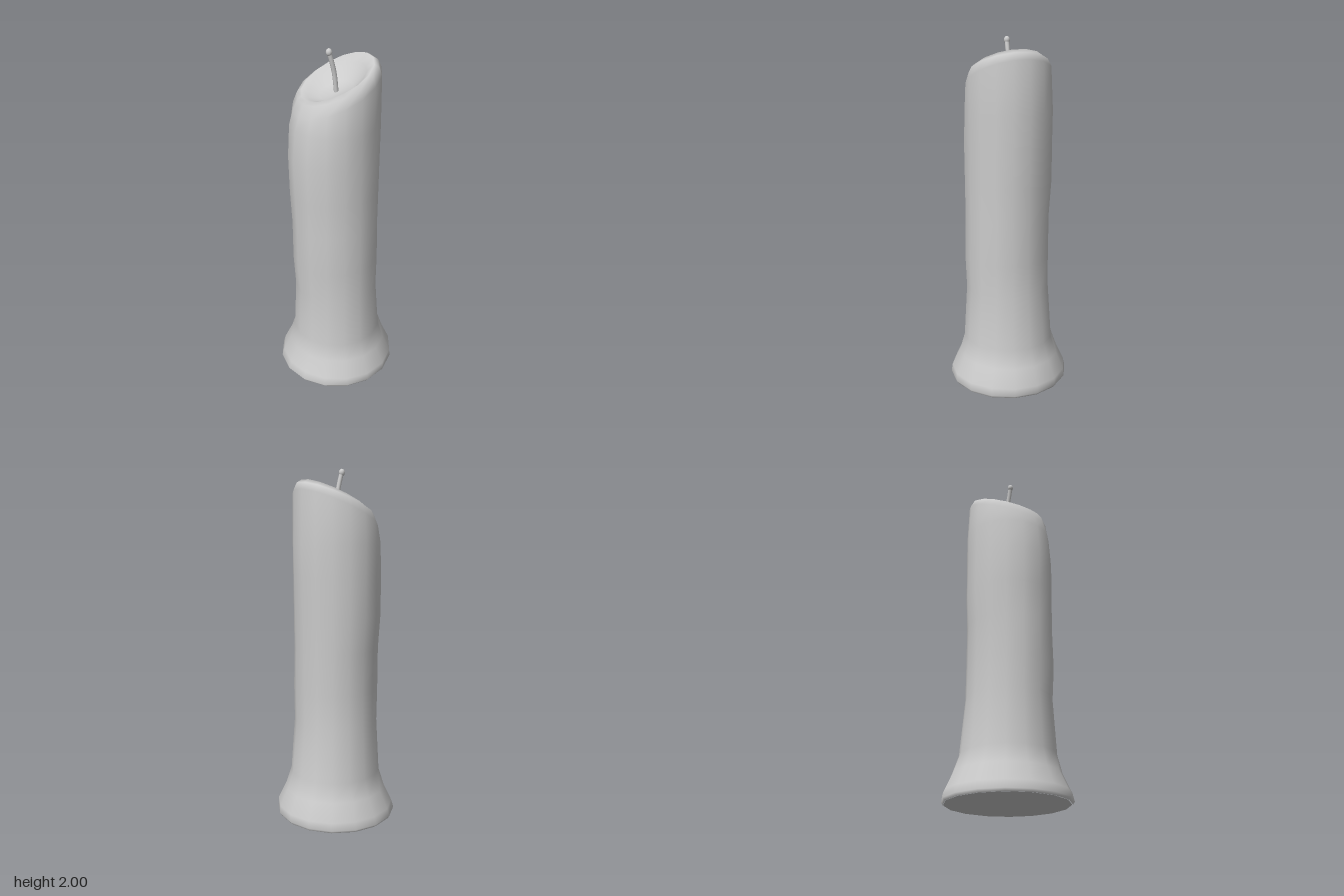
import * as THREE from 'three';

const SIDES = 16;
const material = new THREE.MeshStandardMaterial({ color: 0xcccccc, roughness: 0.8 });

// Height of the slanted rim: low at the front, high at the back
const rimY = a => 1.847 + 0.035 * Math.cos(a) - 0.09 * Math.sin(a);

// Radius blended between the left (+x), front, right (-x) and back values
function radius([left, front, right, back], a) {
  const c = Math.cos(a), s = Math.sin(a);
  return 1.015 * ((c > 0 ? left : right) * c * c + (s > 0 ? front : back) * s * s);
}

// Skin a stack of rings; closeY caps the last ring with a centre point
function skin(rings, closeY) {
  const pos = [], index = [];
  rings.forEach(({ y, r }) => {
    for (let j = 0; j < SIDES; j++) {
      const a = (j + 0.5) / SIDES * Math.PI * 2, d = radius(r, a);
      pos.push(Math.cos(a) * d, y(a), Math.sin(a) * d);
    }
  });
  for (let i = 0; i < rings.length - 1; i++) {
    for (let j = 0; j < SIDES; j++) {
      const k = (j + 1) % SIDES, p = i * SIDES, q = p + SIDES;
      index.push(p + j, q + j, p + k, p + k, q + j, q + k);
    }
  }
  if (closeY !== undefined) {
    const p = (rings.length - 1) * SIDES, centre = pos.length / 3;
    pos.push(0, closeY, 0);
    for (let j = 0; j < SIDES; j++) index.push(p + j, centre, p + (j + 1) % SIDES);
  }
  const geo = new THREE.BufferGeometry();
  geo.setAttribute('position', new THREE.Float32BufferAttribute(pos, 3));
  geo.setIndex(index);
  geo.computeVertexNormals();
  return geo;
}

export function createModel() {
  const group = new THREE.Group();
  const add = (name, geo) => {
    const mesh = new THREE.Mesh(geo, material);
    mesh.name = name;
    group.add(mesh);
    return mesh;
  };

  // Wax body: flared foot, uneven shaft, then the melted rim and hollow
  const shaft = [
    [0.0, 0.335, 0.335, 0.335, 0.33],
    [0.015, 0.345, 0.345, 0.345, 0.34],
    [0.06, 0.342, 0.33, 0.332, 0.338],
    [0.16, 0.293, 0.285, 0.285, 0.295],
    [0.26, 0.262, 0.262, 0.25, 0.26],
    [0.57, 0.242, 0.247, 0.232, 0.23],
    [0.76, 0.245, 0.262, 0.23, 0.23],
    [1.0, 0.238, 0.26, 0.232, 0.23],
    [1.2, 0.237, 0.265, 0.248, 0.235],
    [1.42, 0.236, 0.27, 0.245, 0.24],
    [1.6, 0.236, 0.253, 0.246, 0.243],
  ].map(([y, ...r]) => ({ y: () => y, r }));
  const top = [
    { y: a => rimY(a) - 0.065 - 0.015 * Math.sin(a), r: [0.236, 0.228, 0.234, 0.235] },
    { y: a => rimY(a) - 0.015, r: [0.222, 0.2, 0.212, 0.215] },
    { y: a => rimY(a), r: [0.198, 0.178, 0.188, 0.188] },
    { y: a => 1.82 + 0.8 * (rimY(a) - 1.847), r: [0.16, 0.145, 0.15, 0.15] },
    { y: a => 1.772 + 0.3 * (rimY(a) - 1.847), r: [0.09, 0.09, 0.09, 0.09] },
  ];
  add('waxBody', skin([...shaft, ...top], 1.765));

  // Flat underside
  const underside = new THREE.CircleGeometry(0.335, SIDES, Math.PI / SIDES);
  underside.rotateX(Math.PI / 2);
  add('underside', underside);

  // Leaning wick with a rounded tip
  const path = new THREE.CatmullRomCurve3([
    new THREE.Vector3(-0.003, 1.755, -0.004),
    new THREE.Vector3(-0.007, 1.86, 0.006),
    new THREE.Vector3(-0.011, 1.93, 0.022),
    new THREE.Vector3(-0.017, 1.982, 0.036),
  ]);
  add('wick', new THREE.TubeGeometry(path, 8, 0.0125, 8));
  const tip = add('wickTip', new THREE.SphereGeometry(0.017, 10, 8));
  tip.scale.y = 1.2;
  tip.position.set(-0.017, 1.98, 0.035);

  return group;
}
